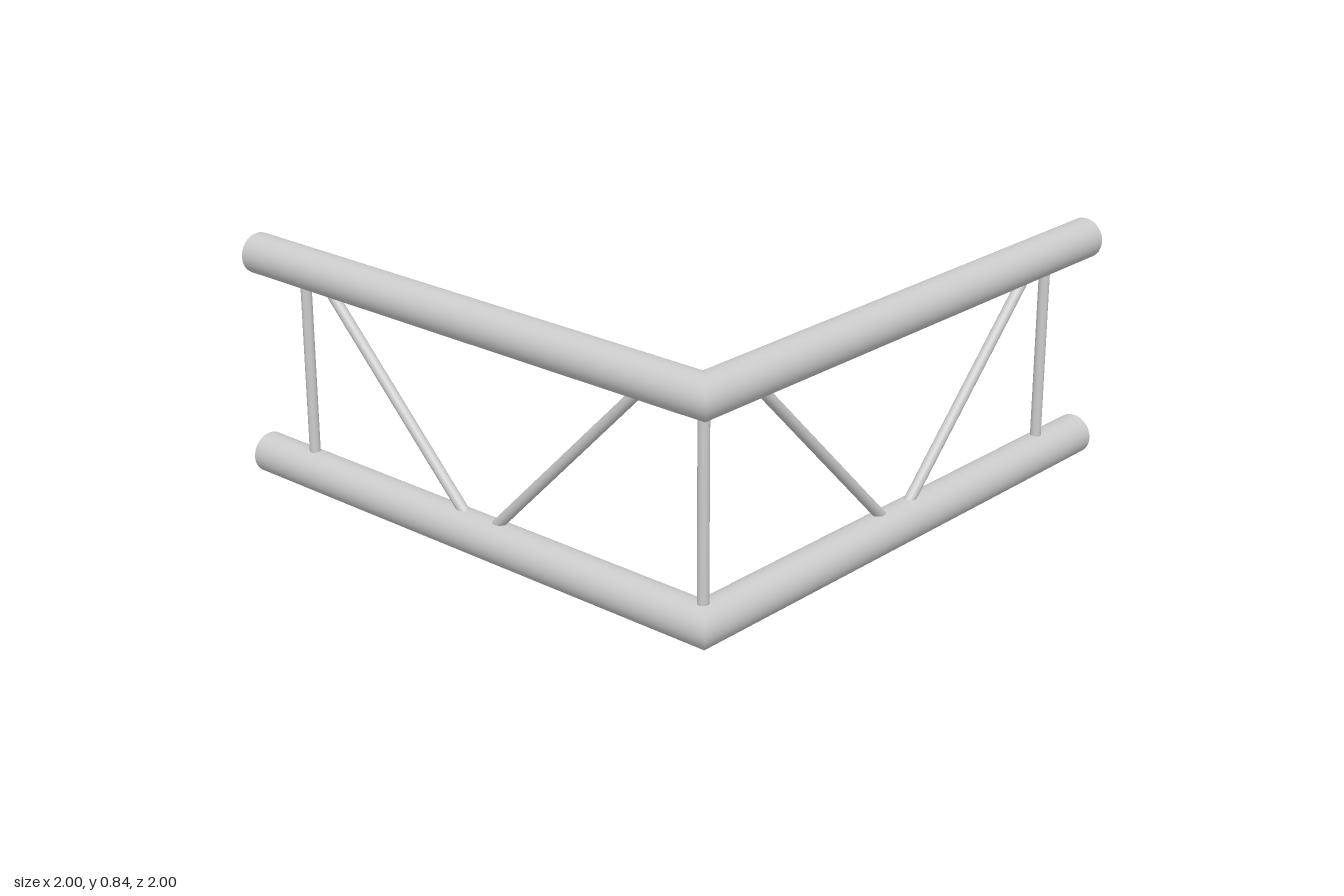
import * as THREE from 'three';

const R = 0.068;          // chord tube radius
const r = 0.018;          // post and brace radius
const LOW = 0.068, HIGH = 0.772; // chord axis heights
const CORNER = 0.932;     // corner axis offset from the centre
const LENGTH = 1 + CORNER;

const material = new THREE.MeshStandardMaterial({ color: 0xcccccc });
const openMaterial = new THREE.MeshStandardMaterial({ color: 0xcccccc, side: THREE.DoubleSide });

// Open tube along +x from the corner, its near end cut to a 45 degree mitre
function chord(name, y, mitre) {
  const geo = new THREE.CylinderGeometry(R, R, LENGTH, 40, 1, true);
  geo.rotateZ(-Math.PI / 2).translate(LENGTH / 2, 0, 0);
  const p = geo.attributes.position;
  for (let i = 0; i < p.count; i++) {
    if (p.getX(i) < LENGTH / 2) p.setX(i, mitre * p.getZ(i));
  }
  const mesh = new THREE.Mesh(geo, openMaterial);
  mesh.name = name;
  mesh.position.y = y;
  return mesh;
}

// Thin rod in the arm's plane, running from the lower chord axis to the upper one
function rod(name, xLow, xHigh) {
  const a = new THREE.Vector3(xLow, LOW, 0);
  const b = new THREE.Vector3(xHigh, HIGH, 0);
  const dir = b.clone().sub(a);
  const mesh = new THREE.Mesh(new THREE.CylinderGeometry(r, r, dir.length(), 20), material);
  mesh.name = name;
  mesh.position.copy(a).add(b).multiplyScalar(0.5);
  mesh.quaternion.setFromUnitVectors(new THREE.Vector3(0, 1, 0), dir.normalize());
  return mesh;
}

// One ladder arm: two chords, an end post and a V of braces
function arm(name, mitre) {
  const g = new THREE.Group();
  g.name = name;
  g.add(
    chord('lowerChord', LOW, mitre),
    chord('upperChord', HIGH, mitre),
    rod('endPost', 0.766 + CORNER, 0.766 + CORNER),
    rod('innerBrace', -0.033 + CORNER, -0.735 + CORNER),
    rod('outerBrace', -0.003 + CORNER, 0.7 + CORNER)
  );
  return g;
}

export function createModel() {
  const model = new THREE.Group();
  model.name = 'cornerTruss';

  const frontArm = arm('frontArm', -1);
  const sideArm = arm('sideArm', 1);
  sideArm.rotation.y = Math.PI / 2;

  // Everything hangs off the shared corner
  for (const part of [frontArm, sideArm, rod('cornerPost', 0, 0)]) {
    part.position.x = -CORNER;
    part.position.z = CORNER;
    model.add(part);
  }
  return model;
}
